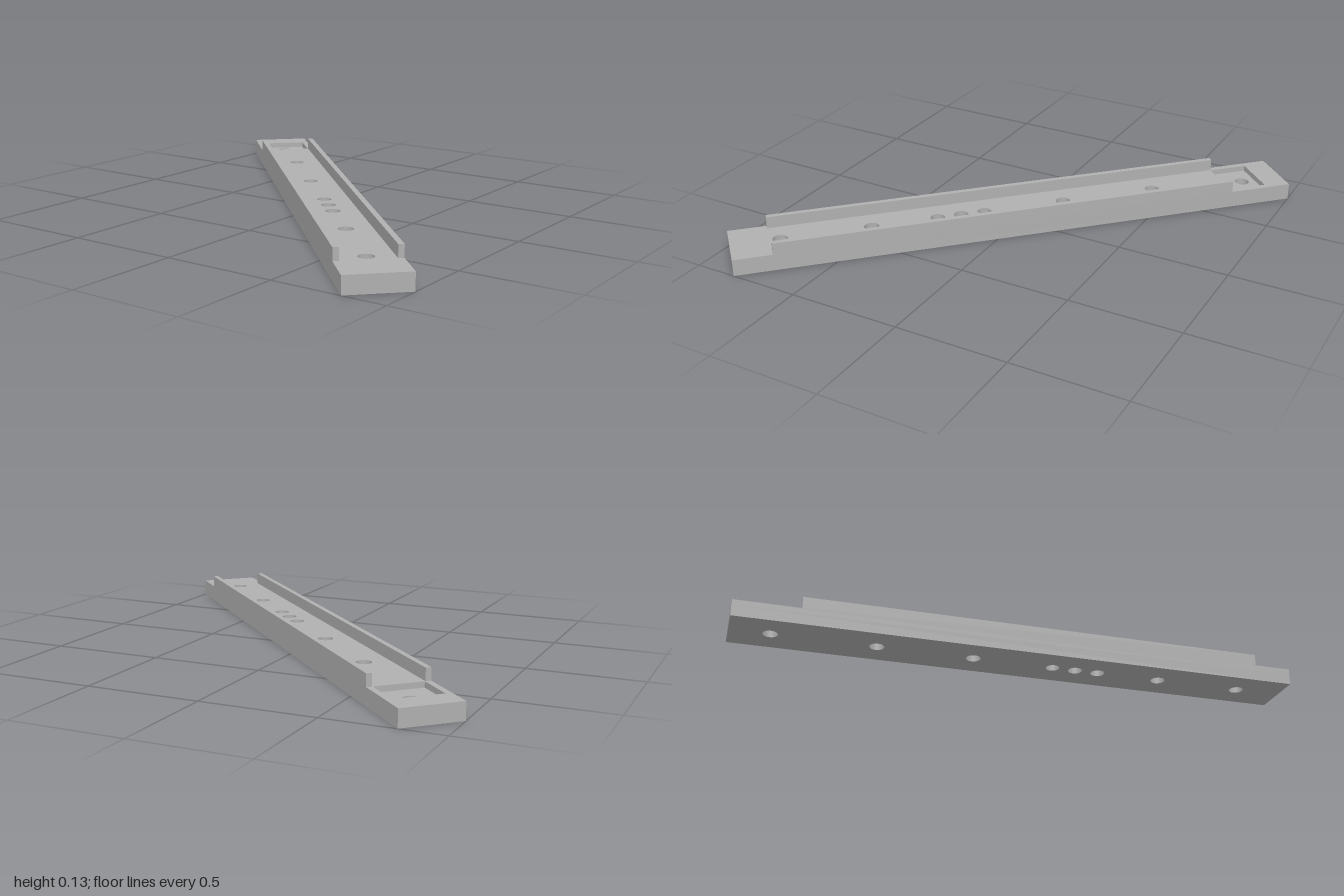
import * as THREE from 'three';

const LENGTH = 2.56, WIDTH = 0.268;
const BASE_TOP = 0.075, POCKET_FLOOR = 0.05, RAIL_TOP = 0.128;
const RAIL_START = -1.11, RAIL_END = 0.99, POCKET_END = 1.167;
const INNER = 0.11; // half width between the rails

// [position along the bar, radius]
const HOLES = [
  [-1.066, 0.033], [-0.669, 0.033], [-0.373, 0.032], [-0.266, 0.032],
  [-0.159, 0.031], [0.211, 0.033], [0.645, 0.033], [1.104, 0.033],
];

function rect(path, x0, x1, halfWidth) {
  path.moveTo(x0, -halfWidth);
  path.lineTo(x1, -halfWidth);
  path.lineTo(x1, halfWidth);
  path.lineTo(x0, halfWidth);
  path.closePath();
  return path;
}

// Horizontal plate between two heights, with the given openings
function plate(name, y0, y1, openings, material) {
  const shape = rect(new THREE.Shape(), -LENGTH / 2, LENGTH / 2, WIDTH / 2);
  shape.holes.push(...openings);
  const geometry = new THREE.ExtrudeGeometry(shape, { depth: y1 - y0, bevelEnabled: false, curveSegments: 24 });
  geometry.rotateX(-Math.PI / 2);
  geometry.translate(0, y0, 0);
  const mesh = new THREE.Mesh(geometry, material);
  mesh.name = name;
  return mesh;
}

export function createModel() {
  const metal = new THREE.MeshStandardMaterial({ color: 0xb0b0b0 });
  metal.name = 'greyMetal';

  const model = new THREE.Group();
  model.name = 'mountingRail';
  const bar = new THREE.Group();
  bar.name = 'bar';
  bar.rotation.y = Math.PI / 4; // the bar lies along the diagonal
  model.add(bar);

  const bores = HOLES.map(([x, r]) => new THREE.Path().absarc(x, 0, r, 0, Math.PI * 2, true));
  const pocket = rect(new THREE.Path(), RAIL_END, POCKET_END, INNER - 0.003);

  // Base: drilled lower plate, and an upper plate where the last hole opens into a pocket
  bar.add(plate('lowerBase', 0, POCKET_FLOOR, bores, metal));
  bar.add(plate('upperBase', POCKET_FLOOR, BASE_TOP, [...bores.slice(0, -1), pocket], metal));

  // Side rails
  const railWidth = WIDTH / 2 - INNER;
  for (const side of [-1, 1]) {
    const rail = new THREE.Mesh(
      new THREE.BoxGeometry(RAIL_END - RAIL_START, RAIL_TOP - BASE_TOP, railWidth), metal);
    rail.position.set((RAIL_START + RAIL_END) / 2, (RAIL_TOP + BASE_TOP) / 2, side * (INNER + railWidth / 2));
    rail.name = side > 0 ? 'frontRail' : 'backRail';
    bar.add(rail);
  }
  return model;
}
